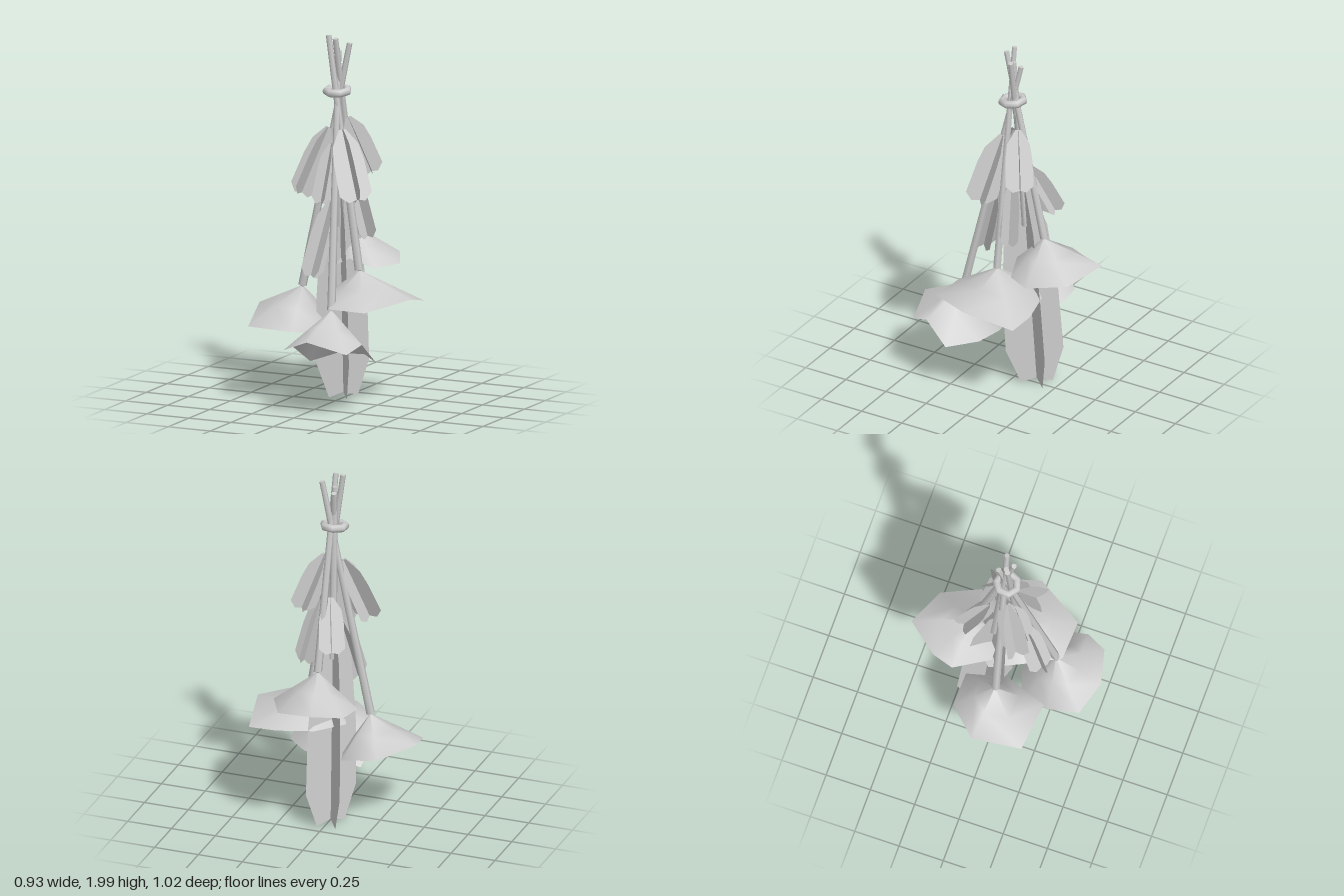
import * as THREE from 'three';

const V = (a) => new THREE.Vector3(...a);

// Builds a surface from rows of points; closed rows wrap around
function loft(rows, closed) {
  const n = rows[0].length, pos = [], idx = [];
  rows.forEach((r) => r.forEach((p) => pos.push(p.x, p.y, p.z)));
  for (let i = 0; i < rows.length - 1; i++) {
    for (let j = 0; j < (closed ? n : n - 1); j++) {
      const k = (j + 1) % n;
      const a = i * n + j, b = i * n + k, c = a + n, d = b + n;
      idx.push(a, c, b, b, c, d);
    }
  }
  const g = new THREE.BufferGeometry();
  g.setAttribute('position', new THREE.Float32BufferAttribute(pos, 3));
  g.setIndex(idx);
  g.computeVertexNormals();
  return g;
}

// Straight thin stem between two points
function stem(bottom, top) {
  const a = V(bottom), b = V(top), d = b.clone().sub(a);
  const g = new THREE.CylinderGeometry(0.015, 0.023, d.length(), 6);
  g.applyQuaternion(new THREE.Quaternion().setFromUnitVectors(V([0, 1, 0]), d.clone().normalize()));
  const m = a.add(b).multiplyScalar(0.5);
  return g.translate(m.x, m.y, m.z);
}

// Flat blade along an axis with a notched end; the outline lists [fraction, half width]
function blade(root, tip, side, outline) {
  const d = tip.clone().sub(root);
  return loft(outline.map(([t, w, notch = 0]) => [-1, 0, 1].map((s) => root.clone()
    .addScaledVector(d, s ? t : t - notch)
    .addScaledVector(side, s * w))), false);
}

// Leaf made of two crossed blades, rolled about its own axis
function leafBlades(root, tip, w, roll) {
  const a = V(root), b = V(tip), d = b.clone().sub(a);
  const axis = d.clone().normalize();
  const flat = new THREE.Vector3(d.z, 0, -d.x).normalize().applyAxisAngle(axis, roll);
  const upright = flat.clone().cross(axis);
  const outline = [[0, 0.2 * w], [0.22, 0.8 * w], [0.45, 0.95 * w], [0.9, w], [1, 0.5 * w, 0.03]];
  return [flat, upright].map((side) => blade(a, b, side, outline));
}

// Drooping bloom: a shallow cone from the apex to an uneven rim
function bloom(apex, rim) {
  const a = V(apex);
  return loft([0.03, 0.5, 1].map((t) => rim.map((p) => a.clone().lerp(V(p), t))), true);
}

export function createModel() {
  const group = new THREE.Group();
  const grey = new THREE.MeshStandardMaterial({ color: 0xcccccc, side: THREE.DoubleSide });
  grey.name = 'plain grey';
  const add = (name, g) => {
    const m = new THREE.Mesh(g, grey);
    m.name = name;
    group.add(m);
  };

  // Blooms, each with its own stem running up through the tie
  const flowers = [
    { name: 'left', apex: [-0.19, 0.625, 0.01], top: [0.075, 1.96, -0.02], rim: [
      [-0.465, 0.5, -0.03], [-0.3, 0.45, -0.19], [-0.1, 0.42, -0.19],
      [-0.03, 0.38, 0.02], [-0.13, 0.42, 0.26], [-0.405, 0.42, 0.23]] },
    { name: 'front', apex: [0.1, 0.56, 0.25], top: [0.0, 1.91, -0.04], rim: [
      [0.08, 0.43, 0.51], [-0.09, 0.36, 0.445], [-0.12, 0.35, 0.28], [-0.09, 0.24, 0.12],
      [0.05, 0.29, 0.07], [0.22, 0.3, 0.09], [0.35, 0.29, 0.22], [0.33, 0.41, 0.35], [0.29, 0.37, 0.455]] },
    { name: 'right', apex: [0.15, 0.74, 0.02], top: [-0.03, 2.0, 0.02], rim: [
      [0.465, 0.61, 0.04], [0.41, 0.55, -0.235], [0.25, 0.56, -0.245], [0.05, 0.57, -0.2],
      [-0.08, 0.575, -0.07], [-0.01, 0.6, 0.1], [0.1, 0.57, 0.285], [0.32, 0.57, 0.295]] },
    { name: 'back', apex: [0.03, 0.925, -0.2], top: [0.02, 1.99, 0.04], rim: [
      [-0.05, 0.81, -0.515], [0.17, 0.76, -0.43], [0.27, 0.74, -0.23], [0.19, 0.73, -0.09],
      [0.06, 0.78, -0.05], [-0.08, 0.71, -0.05], [-0.21, 0.76, -0.23], [-0.17, 0.75, -0.35]] },
  ];
  flowers.forEach(({ name, apex, top, rim }) => {
    add(name + ' bloom', bloom(apex, rim));
    add(name + ' stem', stem(apex, top));
  });

  // Long seed head: two crossed blades around a central stem
  const foot = V([-0.015, 0.01, -0.128]), head = V([0.01, 1.93, 0.0]);
  const seedOutline = [[0, 0.085, -0.012], [0.1, 0.155], [0.28, 0.15], [0.49, 0.115], [0.6, 0.04]];
  [-1, 1].forEach((s) => add('seed head blade', blade(foot, head, V([0.62 * s, 0, 0.785]), seedOutline)));
  add('seed head stem', stem([-0.003, 0.95, -0.065], head.toArray()));

  // Leaves: root, tip, half width, roll
  [
    [[-0.03, 1.5, 0.02], [-0.15, 1.14, 0.11], 0.085, 0.75],
    [[0.0, 1.42, 0.05], [-0.03, 1.1, 0.12], 0.055, 0.4],
    [[0.06, 1.5, 0.04], [0.185, 1.13, 0.11], 0.09, 0.3],
    [[0.05, 1.55, -0.05], [0.155, 1.24, -0.125], 0.075, 0],
    [[0.0, 1.32, -0.09], [-0.06, 1.05, -0.22], 0.07, 0.15],
    [[0.08, 1.27, -0.03], [0.165, 0.9, -0.06], 0.065, 0.5],
    [[0.02, 1.12, 0.1], [-0.04, 0.72, 0.22], 0.07, 0.15],
  ].forEach(([root, tip, w, roll]) => leafBlades(root, tip, w, roll).forEach((g) => add('leaf', g)));

  // Cord ring holding the bundle together
  const ring = new THREE.TorusGeometry(0.058, 0.022, 8, 7);
  ring.rotateX(Math.PI / 2 + 0.12);
  ring.translate(0.014, 1.7, 0.003);
  add('tie', ring);

  return group;
}
